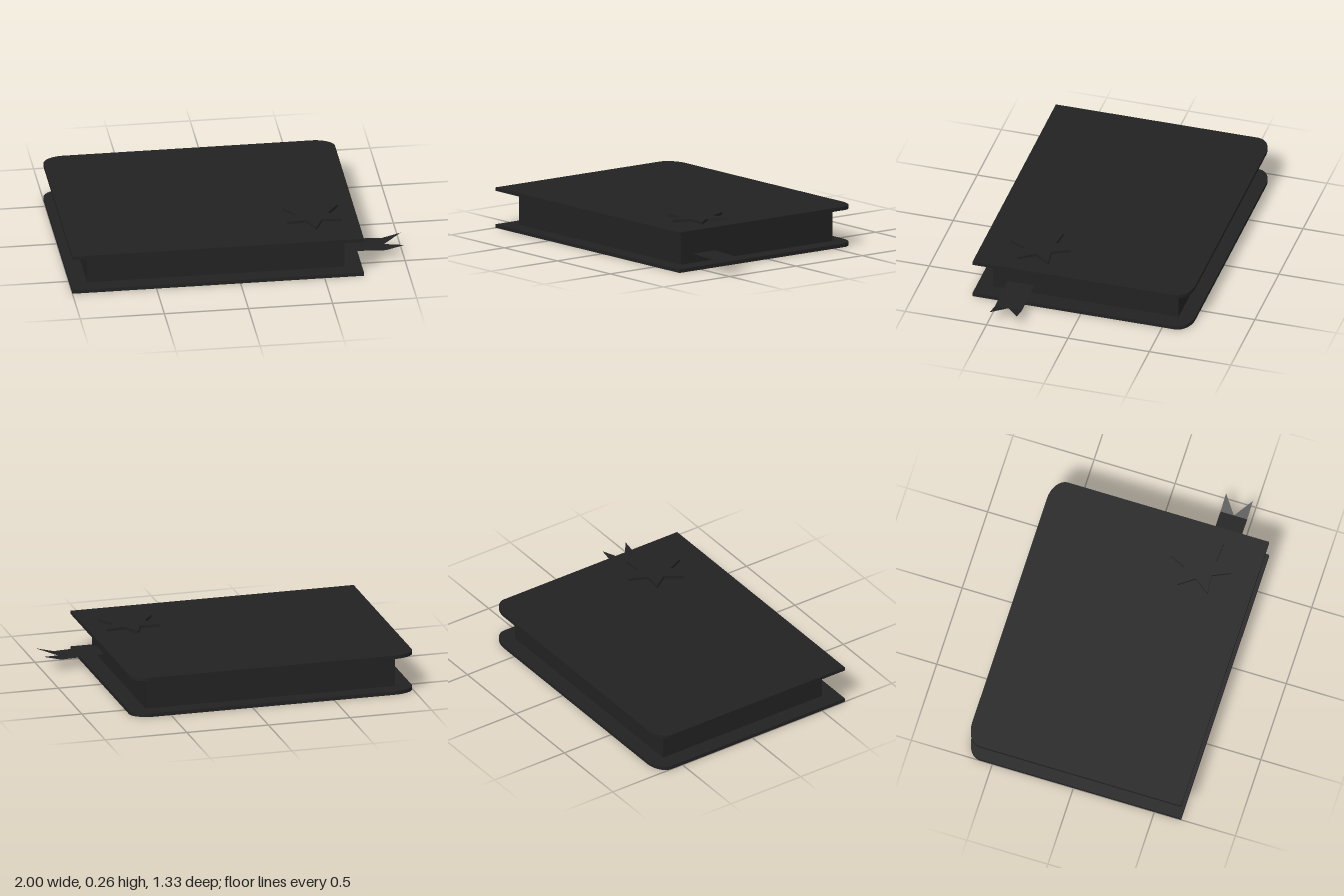
import * as THREE from 'three';

const material = new THREE.MeshStandardMaterial({ color: 0x222222 });
const ribbonMaterial = new THREE.MeshStandardMaterial({ color: 0x222222, side: THREE.DoubleSide });

// Lay a flat outline (x, -z) on the ground plane and give it a height
function slab(name, shape, y, height) {
  const geometry = new THREE.ExtrudeGeometry(shape, { depth: height, bevelEnabled: false, curveSegments: 10 });
  geometry.rotateX(-Math.PI / 2);
  const mesh = new THREE.Mesh(geometry, material);
  mesh.name = name;
  mesh.position.y = y;
  return mesh;
}

// Cover outline: square front corners, rounded back corners
function coverShape() {
  const x0 = -1, x1 = 0.733, d = 0.665, rx = 0.13, rz = 0.09;
  const s = new THREE.Shape();
  s.moveTo(x0, -d);
  s.lineTo(x1, -d);
  s.lineTo(x1, d - rz);
  s.absellipse(x1 - rx, d - rz, rx, rz, 0, Math.PI / 2, false, 0);
  s.lineTo(x0 + rx, d);
  s.absellipse(x0 + rx, d - rz, rx, rz, Math.PI / 2, Math.PI, false, 0);
  s.closePath();
  return s;
}

// Six-pointed star with two points along z
function starShape(cx, cz, outer, inner) {
  const points = [];
  for (let i = 0; i < 12; i++) {
    const a = Math.PI / 2 + i * Math.PI / 6;
    const r = i % 2 ? inner : outer;
    points.push(new THREE.Vector2(cx + r * Math.cos(a), -cz + r * Math.sin(a)));
  }
  return new THREE.Shape(points);
}

// Bookmark: flat strip, then a swallowtail bent upwards
function bookmark() {
  const z0 = 0.315, z1 = 0.48, zm = (z0 + z1) / 2;
  const geometry = new THREE.BufferGeometry();
  geometry.setAttribute('position', new THREE.Float32BufferAttribute([
    0.6, 0.078, z0, 0.6, 0.078, z1,
    0.89, 0.066, z0, 0.89, 0.066, zm, 0.89, 0.066, z1,
    1, 0.093, z0, 1, 0.093, z1,
  ], 3));
  geometry.setIndex([0, 1, 3, 0, 3, 2, 1, 4, 3, 2, 3, 5, 3, 4, 6]);
  const flat = geometry.toNonIndexed();
  flat.computeVertexNormals();
  const mesh = new THREE.Mesh(flat, ribbonMaterial);
  mesh.name = 'bookmarkRibbon';
  return mesh;
}

export function createModel() {
  const book = new THREE.Group();
  book.name = 'book';

  book.add(slab('backCover', coverShape(), 0, 0.022));
  book.add(slab('frontCover', coverShape(), 0.222, 0.021));

  // Page block
  const pages = new THREE.Mesh(new THREE.BoxGeometry(1.53, 0.2, 1.14), material);
  pages.name = 'pages';
  pages.position.set(-0.135, 0.122, 0);
  book.add(pages);

  book.add(slab('starOrnament', starShape(0.473, 0.323, 0.187, 0.095), 0.243, 0.017));
  book.add(bookmark());
  return book;
}
